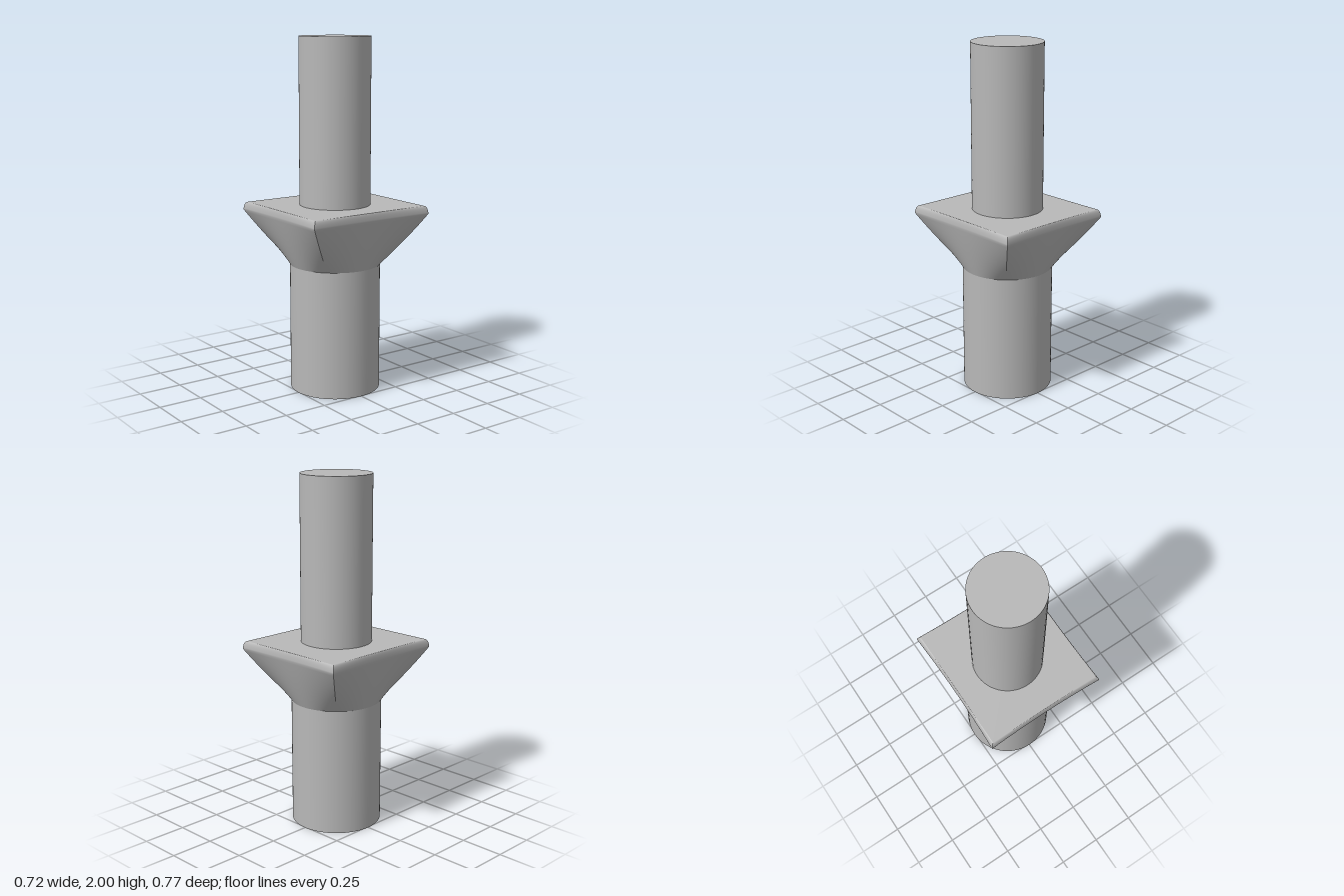
import * as THREE from 'three';

const LOWER_R = 0.256, UPPER_R = 0.2;
const LOFT_Y = 0.726, RIM_Y = 1.02, TOP_Y = 1.065;
const HALF_X = 0.358, HALF_Z = 0.385; // widest corners of the collar
const INSET = 0.018;                  // rounding of the rim
const ARC = 0.3;                      // share of the grid rows used by the rim

// One of four collar faces: a quarter circle lofted to a rectangle side with a rounded rim
function collarSide(turn) {
  const geo = new THREE.PlaneGeometry(2, 1, 28, 30);
  const pos = geo.attributes.position;
  const phi = turn * Math.PI / 2;
  const [out, wide] = turn % 2 ? [HALF_X, HALF_Z] : [HALF_Z, HALF_X];
  for (let i = 0; i < pos.count; i++) {
    const u = pos.getX(i), v = pos.getY(i) + 0.5;
    const a = u * Math.PI / 4;
    const rimN = out - 0.01 * (1 - u * u); // sides bow inward slightly
    let n, t, y;
    if (v <= 1 - ARC) {
      const s = v / (1 - ARC);
      const e = s + 0.12 * s * (1 - s);
      n = THREE.MathUtils.lerp(LOWER_R * Math.cos(a), rimN, e);
      t = THREE.MathUtils.lerp(LOWER_R * Math.sin(a), wide * u, e);
      y = THREE.MathUtils.lerp(LOFT_Y, RIM_Y, s);
    } else {
      const q = (v - 1 + ARC) / ARC * Math.PI / 2;
      const k = 1 - Math.cos(q);
      n = THREE.MathUtils.lerp(rimN, out - INSET, k);
      t = THREE.MathUtils.lerp(wide * u, (wide - INSET) * u, k);
      y = RIM_Y + (TOP_Y - RIM_Y) * Math.sin(q);
    }
    pos.setXYZ(i, n * Math.sin(phi) + t * Math.cos(phi), y, n * Math.cos(phi) - t * Math.sin(phi));
  }
  geo.computeVertexNormals();
  return geo;
}

export function createModel() {
  const group = new THREE.Group();
  const grey = new THREE.MeshStandardMaterial({ color: 0xb8b8b8 });
  grey.name = 'plain grey';

  const add = (name, geo, parent = group) => {
    const mesh = new THREE.Mesh(geo, grey);
    mesh.name = name;
    parent.add(mesh);
    return mesh;
  };
  const shaft = (name, r, y0, y1) => {
    add(name, new THREE.CylinderGeometry(r, r, y1 - y0, 72)).position.y = (y0 + y1) / 2;
  };

  // Round shafts below and above the collar
  shaft('lowerShaft', LOWER_R, 0, LOFT_Y);
  shaft('upperShaft', UPPER_R, TOP_Y - 0.01, 2);

  // Flared collar, round below and rectangular above
  const collar = new THREE.Group();
  collar.name = 'collar';
  group.add(collar);
  for (let k = 0; k < 4; k++) add('collarSide' + (k + 1), collarSide(k), collar);
  const top = new THREE.PlaneGeometry(2 * (HALF_X - INSET), 2 * (HALF_Z - INSET));
  top.rotateX(-Math.PI / 2);
  add('collarTop', top, collar).position.y = TOP_Y;

  return group;
}
